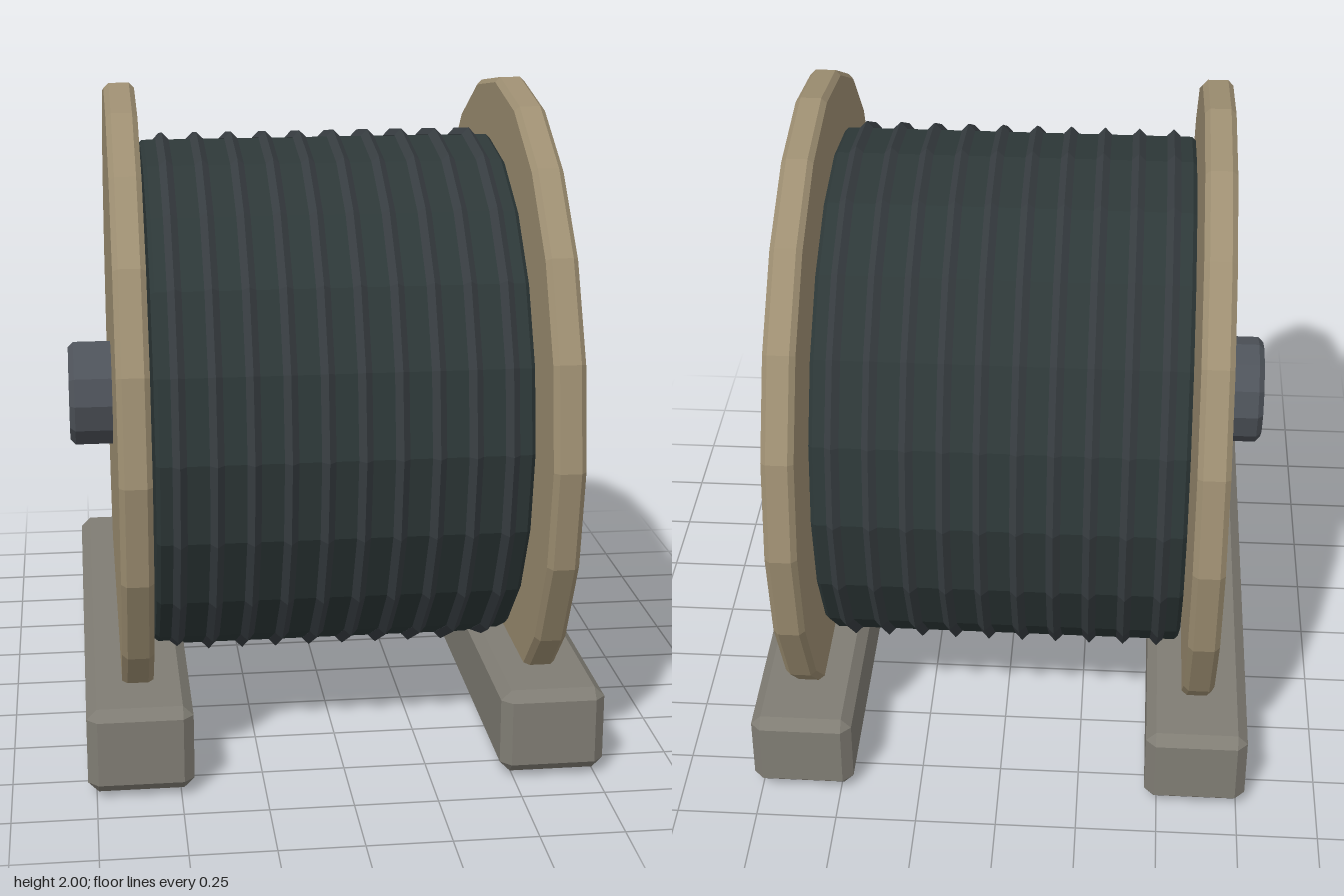
import * as THREE from 'three';
import { ConvexGeometry } from 'three/addons/geometries/ConvexGeometry.js';

const mat = (name, color) => new THREE.MeshStandardMaterial({ name, color, flatShading: true });

// Disc lying along x with chamfered rims
function chamferedDisc(radius, width, bevel, sides) {
  const h = width / 2;
  const profile = [[0, -h], [radius - bevel, -h], [radius, -h + bevel],
    [radius, h - bevel], [radius - bevel, h], [0, h]].map(p => new THREE.Vector2(...p));
  return new THREE.LatheGeometry(profile, sides).rotateZ(-Math.PI / 2);
}

// Box with every edge cut by a flat chamfer
function chamferedBox(w, h, d, bevel) {
  const points = [];
  for (const sx of [-1, 1]) for (const sy of [-1, 1]) for (const sz of [-1, 1]) {
    for (let axis = 0; axis < 3; axis++) {
      const inset = [bevel, bevel, bevel];
      inset[axis] = 0;
      points.push(new THREE.Vector3(
        sx * (w / 2 - inset[0]), sy * (h / 2 - inset[1]), sz * (d / 2 - inset[2])));
    }
  }
  return new ConvexGeometry(points);
}

export function createModel() {
  const model = new THREE.Group();
  model.name = 'cableReel';

  const wood = mat('tan wood', 0x9e8f72);
  const timber = mat('grey timber', 0x807d74);
  const cable = mat('dark cable', 0x2d3838);
  const ridge = mat('cable ridge', 0x383e42);
  const steel = mat('steel', 0x4e535a);

  const add = (name, geometry, material, x, y) => {
    const mesh = new THREE.Mesh(geometry, material);
    mesh.name = name;
    mesh.position.set(x, y, 0);
    model.add(mesh);
  };

  // Axle and wound cable
  add('axle', chamferedDisc(0.17, 1.6, 0.017, 12), steel, 0, 1.003);
  add('cableDrum', chamferedDisc(0.815, 1.11, 0.012, 20), cable, 0, 1.003);

  // Raised cable turns
  const turn = new THREE.TorusGeometry(0.816, 0.021, 4, 20).rotateY(Math.PI / 2);
  for (let i = 0; i < 10; i++) add('cableTurn', turn, ridge, (i - 4.5) * 0.108, 1.003);

  // Side flanges and the beams they rest in
  const flange = chamferedDisc(0.998, 0.095, 0.016, 20);
  const beam = chamferedBox(0.315, 0.262, 1.775, 0.031);
  for (const [side, s] of [['left', 1], ['right', -1]]) {
    add(side + 'Flange', flange, wood, s * 0.617, 1);
    add(side + 'Beam', beam, timber, s * 0.618, 0.149);
  }
  return model;
}
